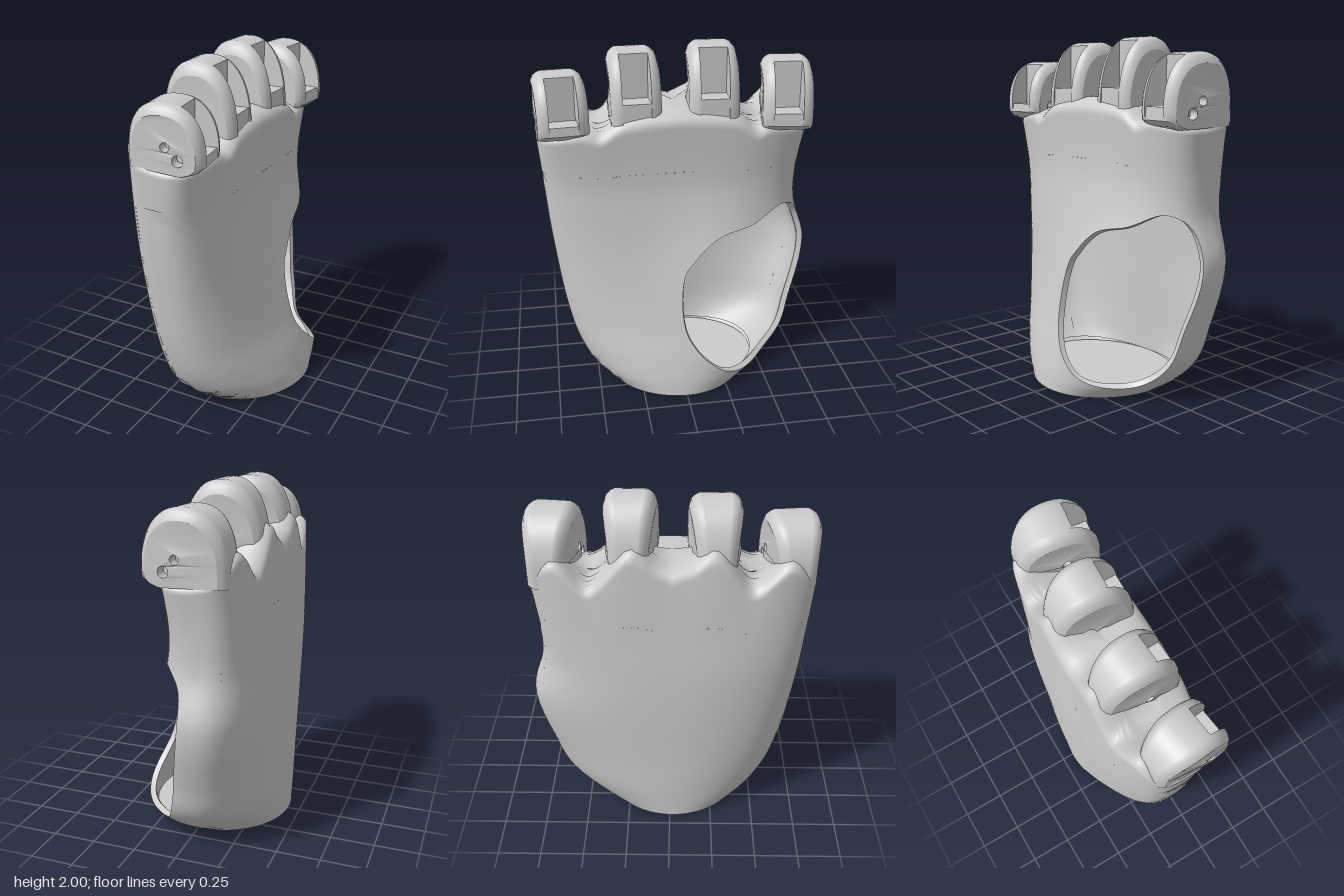
import * as THREE from 'three';
import { toCreasedNormals } from 'three/addons/utils/BufferGeometryUtils.js';

const material = new THREE.MeshStandardMaterial({ color: 0xcccccc, side: THREE.DoubleSide });
const WALL = 0.035, PATCH_TOP = 1.3, SHOULDER = 1.49, POLE = 1.59, SIDE = 1.9;
const { smoothstep, clamp, lerp } = THREE.MathUtils;

// Palm cross-sections by height: xMin, xMax, zMin, zMax, squareness
const heights = [0, 0.08, 0.2, 0.4, 0.78, 1.05, 1.25, 1.55];
const sections = new THREE.CubicInterpolant(heights, [
  -0.43, 0.4, -0.41, 0.44, 2,
  -0.43, 0.385, -0.53, 0.53, 2.05,
  -0.43, 0.35, -0.65, 0.6, 2.12,
  -0.425, 0.28, -0.72, 0.66, 2.25,
  -0.42, 0.2, -0.8, 0.72, 2.5,
  -0.41, 0.16, -0.73, 0.75, 2.7,
  -0.395, 0.14, -0.73, 0.765, 3,
  -0.365, 0.145, -0.77, 0.79, 3.8,
], 5);
const section = (v) => {
  const [x0, x1, z0, z1, n] = sections.evaluate(clamp(v, 0, 1.55));
  return { cx: (x0 + x1) / 2, a: (x1 - x0) / 2, cz: (z0 + z1) / 2, b: (z1 - z0) / 2, n: Math.max(2, n) };
};
const power = (t, p) => Math.sign(t) * Math.abs(t) ** p;
const bell = (t, width) => Math.exp(-((t / width) ** 2));

const knuckles = [
  { z: 0.645, w: 0.14, top: 1.87, cx: -0.07, rx: 0.215, floor: 1.61, turn: 0.12 },
  { z: 0.235, w: 0.14, top: 1.98, cx: -0.11, rx: 0.225, floor: 1.71, turn: 0.04 },
  { z: -0.205, w: 0.14, top: 2, cx: -0.11, rx: 0.225, floor: 1.72, turn: -0.04 },
  { z: -0.625, w: 0.14, top: 1.91, cx: -0.07, rx: 0.23, floor: 1.63, turn: -0.12 },
];

// Rise of the top edge: overall arch, valleys between fingers, sleeves up the knuckle backs
function topLift(x, z) {
  const arch = 0.09 * Math.max(0, 1 - (z / 0.8) ** 2) ** 2;
  const valley = 0.05 * bell(Math.abs(z) - 0.435, 0.07);
  const back = 1 - smoothstep(x, -0.3, -0.05);
  const sleeve = knuckles.reduce((sum, k) => sum + 0.14 * bell(z - k.z, 0.11), 0);
  return arch - valley + back * sleeve;
}

// Point on the palm surface; angle 0 faces +x, v is the height before the top edge is lifted
function palmPoint(angle, v) {
  const { cx, a, cz, b, n } = section(v);
  const phi = Math.max(0, (v - SHOULDER) / (POLE - SHOULDER)) * Math.PI / 2;
  const shrink = Math.sqrt(Math.max(0, Math.cos(phi)));
  const c = power(Math.cos(angle), 2 / n);
  const z = cz + b * shrink * power(Math.sin(angle), 2 / n);
  // thumb mound
  const mound = 0.1 * bell(z + 0.28, 0.35) * bell(v - 0.55, 0.45);
  const x = cx + a * shrink * c + mound * Math.max(0, c);
  const y = Math.min(v, SHOULDER) + 0.09 * Math.sin(phi) + topLift(x, z) * smoothstep(v, 1.2, 1.53);
  return new THREE.Vector3(x, y, z);
}
function palmNormal(angle, v) {
  const e = 0.002;
  const up = palmPoint(angle, v + e).sub(palmPoint(angle, v - e));
  const round = palmPoint(angle + e, v).sub(palmPoint(angle - e, v));
  const n = up.cross(round).normalize();
  return n.lengthSq() > 0.5 ? n : new THREE.Vector3(0, 1, 0);
}
const wallPoint = (angle, v, inner) => {
  const p = palmPoint(angle, v);
  return inner ? p.addScaledVector(palmNormal(angle, v), -WALL) : p;
};

// Grid of points joined by triangles
function gridGeometry(rows, cols, at, normalAt, flip) {
  const pos = [], nor = [], index = [];
  for (let i = 0; i <= rows; i++) for (let j = 0; j <= cols; j++) {
    pos.push(...at(i, j).toArray());
    if (normalAt) nor.push(...normalAt(i, j).toArray());
    if (i === rows || j === cols) continue;
    const a = i * (cols + 1) + j, b = a + cols + 1;
    if (flip) index.push(a, a + 1, b, b, a + 1, b + 1);
    else index.push(a, b, a + 1, b, b + 1, a + 1);
  }
  const g = new THREE.BufferGeometry();
  g.setAttribute('position', new THREE.Float32BufferAttribute(pos, 3));
  g.setIndex(index);
  if (normalAt) g.setAttribute('normal', new THREE.Float32BufferAttribute(nor, 3));
  else g.computeVertexNormals();
  return g;
}
function addMesh(parent, name, geometry) {
  const m = new THREE.Mesh(geometry, material);
  m.name = name;
  parent.add(m);
  return m;
}
function addWall(parent, name, rows, cols, uv, inner) {
  addMesh(parent, name, gridGeometry(rows, cols,
    (i, j) => wallPoint(...uv(i, j), inner),
    (i, j) => palmNormal(...uv(i, j)).multiplyScalar(inner ? -1 : 1), inner));
}

// Thumb opening outline as (z, y), converted to (angle, height)
const opening = [[-0.62, 1.06], [-0.42, 0.98], [-0.2, 0.92], [-0.05, 0.78], [0.01, 0.52], [-0.05, 0.3],
  [-0.2, 0.15], [-0.4, 0.085], [-0.55, 0.125], [-0.66, 0.25], [-0.72, 0.45], [-0.8, 0.78], [-0.74, 0.96]];
const RIM = 96;
const rim = new THREE.CatmullRomCurve3(opening.map(([z, y]) => {
  const { cz, b, n } = section(y);
  const r = clamp((z - cz) / b, -0.99, 0.99);
  return new THREE.Vector3(Math.asin(power(r, n / 2)), y, 0);
}), true).getPoints(RIM);

// Points where rays through the rim meet the border of the palm-side patch
function patchBorder(bottom) {
  const cx = -0.65, cy = 0.55;
  const border = rim.map((p) => {
    const dx = p.x - cx, dy = p.y - cy;
    const t = Math.min(((dx > 0 ? SIDE : -SIDE) - cx) / dx, ((dy > 0 ? PATCH_TOP : bottom) - cy) / dy);
    return new THREE.Vector2(cx + dx * t, cy + dy * t);
  });
  for (const x of [-SIDE, SIDE]) for (const y of [bottom, PATCH_TOP]) {
    const corner = new THREE.Vector2(x, y);
    let best = border[0];
    for (const p of border) if (p.distanceTo(corner) < best.distanceTo(corner)) best = p;
    best.copy(corner);
  }
  border[RIM].copy(border[0]);
  return border;
}

function addShell(parent, inner) {
  const label = inner ? 'inner' : 'outer', bottom = inner ? 0.05 : 0;
  const border = patchBorder(bottom);
  addWall(parent, label + 'PalmSide', 20, RIM, (i, j) => [
    lerp(rim[j].x, border[j].x, i / 20), lerp(rim[j].y, border[j].y, i / 20)], inner);
  addWall(parent, label + 'HandBack', 36, 48, (i, j) => [
    SIDE + (2 * Math.PI - 2 * SIDE) * j / 48, bottom + (PATCH_TOP - bottom) * i / 36], inner);
  addWall(parent, label + 'KnuckleRidge', 30, 160, (i, j) => [
    2 * Math.PI * j / 160, PATCH_TOP + (POLE - PATCH_TOP) * i / 30], inner);
  // flat floor
  const ring = Array.from({ length: 96 }, (_, j) => {
    const p = wallPoint(2 * Math.PI * j / 96, bottom, inner);
    return new THREE.Vector2(p.x, p.z);
  });
  const floor = addMesh(parent, label + 'Floor', new THREE.ShapeGeometry(new THREE.Shape(ring)));
  floor.rotation.x = Math.PI / 2;
  floor.position.y = bottom;
}

// Knuckle stub: two rounded cheeks with pin holes and a slotted core, narrowing towards the back
function makeKnuckle({ z, w, top, cx, rx, floor, turn }) {
  const g = new THREE.Group();
  g.name = 'knuckle';
  const mid = 1.6, slot = 0.08, slotX = cx + 0.09, front = cx + rx;
  const arc = Array.from({ length: 25 }, (_, i) => {
    const t = Math.PI * i / 24;
    return new THREE.Vector2(cx + rx * power(Math.cos(t), 0.87), mid + (top - mid) * power(Math.sin(t), 0.87));
  });
  const base = [[cx - rx, 1.52], [front - 0.1, 1.51], [front - 0.04, 1.53], [front - 0.005, 1.56]]
    .map((p) => new THREE.Vector2(...p));
  const outline = [...arc, ...base];
  const scaled = (s) => outline.map((p) => new THREE.Vector2(cx + (p.x - cx) * s, 1.54 + (p.y - 1.54) * s));
  const holes = [[cx + 0.02, 1.66, 0.025], [cx + 0.085, 1.595, 0.03]];
  const pinch = (geometry) => {
    const p = geometry.attributes.position;
    for (let i = 0; i < p.count; i++) {
      const back = clamp((cx - p.getX(i)) / rx, 0, 1);
      p.setZ(i, p.getZ(i) * (1 - 0.4 * back ** 2));
    }
    geometry.computeVertexNormals();
    return geometry;
  };
  const cap = (s, d) => {
    const shape = new THREE.Shape(scaled(s));
    for (const [x, y, r] of holes) shape.holes.push(new THREE.Path().absarc(x, y, r, 0, Math.PI * 2, true));
    return pinch(new THREE.ShapeGeometry(shape, 10).translate(0, 0, d));
  };
  const rings = [[slot, 1], [w - 0.055, 1], [w - 0.035, 0.98], [w - 0.013, 0.93], [w, 0.84]];
  const loops = rings.map(([d, s]) => scaled(s).map((p) => new THREE.Vector3(p.x, p.y, d)));
  const count = outline.length;
  for (const side of [-1, 1]) {
    const at = (i, j) => loops[i][j % count].clone().multiply(new THREE.Vector3(1, 1, side));
    const cheek = pinch(gridGeometry(rings.length - 1, count, at, null, side > 0));
    addMesh(g, 'cheek', toCreasedNormals(cheek, 0.7));
    addMesh(g, 'cheekOuterFace', cap(0.84, side * w));
    addMesh(g, 'cheekInnerFace', cap(1, side * slot));
    for (const [x, y, r] of holes) {
      const bore = addMesh(g, 'pinHole', new THREE.CylinderGeometry(r, r, w - slot, 14, 1, true));
      bore.rotation.x = Math.PI / 2;
      bore.position.set(x, y, side * (w + slot) / 2);
    }
  }
  // core with the finger slot cut from its front
  const u = (slotX - cx) / rx;
  const cutTop = mid + (top - mid) * (1 - u ** 2.3) ** (1 / 2.3);
  const core = new THREE.Shape([new THREE.Vector2(front - 0.01, floor), new THREE.Vector2(slotX, floor),
    new THREE.Vector2(slotX, cutTop), ...arc.filter((p) => p.x < slotX - 0.002), ...base]);
  const coreGeometry = new THREE.ExtrudeGeometry(core, { depth: 2 * slot, bevelEnabled: false });
  addMesh(g, 'slotCore', toCreasedNormals(pinch(coreGeometry.translate(0, 0, -slot)), 0.5));
  g.rotation.y = turn;
  g.position.z = z;
  return g;
}

export function createModel() {
  const model = new THREE.Group();
  model.name = 'palm';
  addShell(model, false);
  addShell(model, true);
  // rim joining outer and inner walls at the thumb opening
  addMesh(model, 'thumbOpeningRim', gridGeometry(1, RIM, (i, j) => wallPoint(rim[j].x, rim[j].y, i === 1), null, true));
  for (const knuckle of knuckles) model.add(makeKnuckle(knuckle));
  return model;
}
